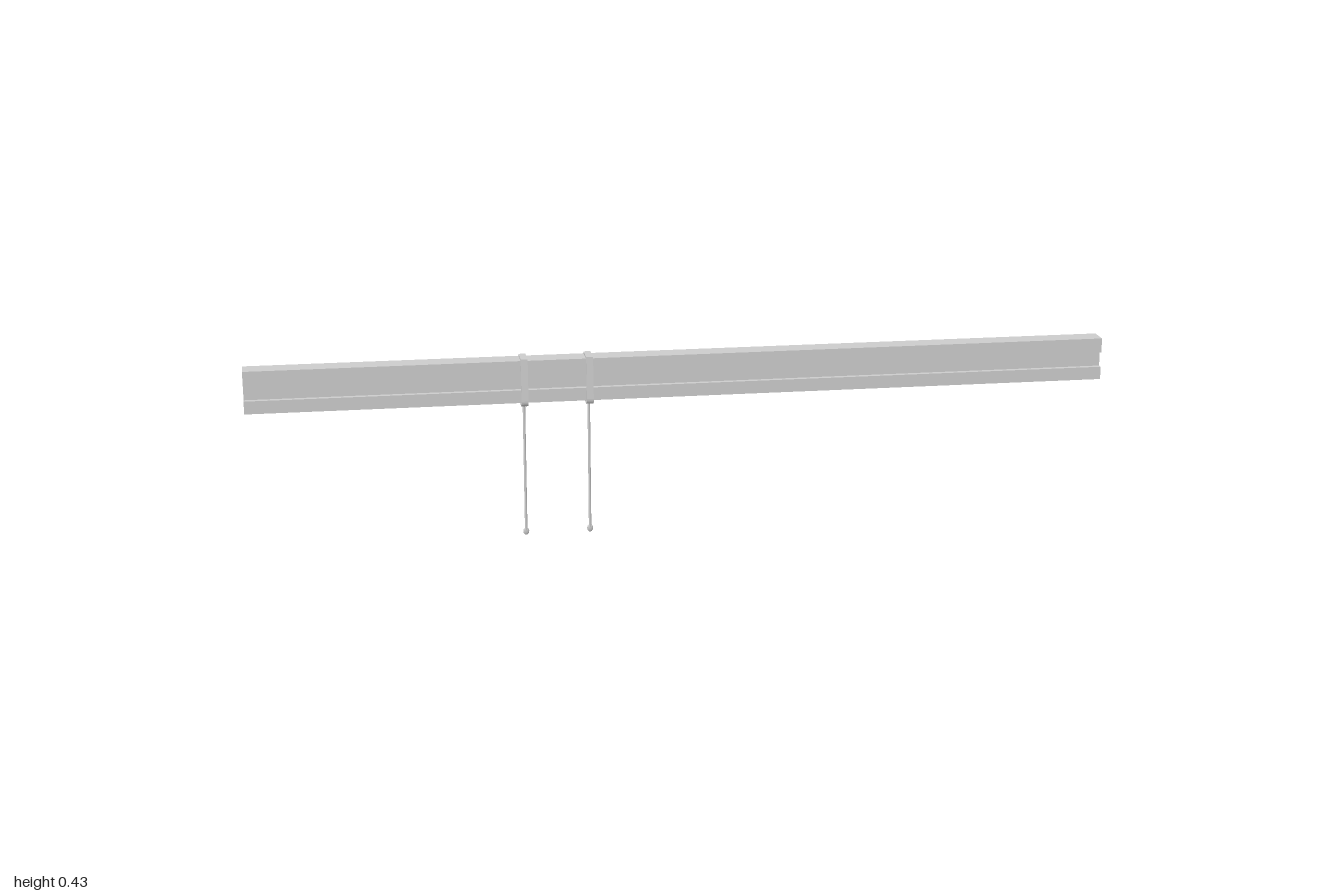
import * as THREE from 'three';

const material = new THREE.MeshStandardMaterial({ color: 0xcccccc, side: THREE.DoubleSide });

function addMesh(parent, name, geometry) {
  const mesh = new THREE.Mesh(geometry, material);
  mesh.name = name;
  parent.add(mesh);
  return mesh;
}

// Open-ended sheet swept along x from a closed outline of [z, y] points
function sheetTube(outline, length) {
  const pos = [];
  const h = length / 2;
  outline.forEach(([z0, y0], i) => {
    const [z1, y1] = outline[(i + 1) % outline.length];
    pos.push(-h, y0, z0, h, y0, z0, h, y1, z1, -h, y0, z0, h, y1, z1, -h, y1, z1);
  });
  const geometry = new THREE.BufferGeometry();
  geometry.setAttribute('position', new THREE.Float32BufferAttribute(pos, 3));
  geometry.computeVertexNormals();
  return geometry;
}

// Tapered loop with rounded lower corners, grown inward by the inset
function loopOutline(path, inset) {
  const top = 0.429 - inset, bottom = 0.317 + inset;
  const zt = 0.027 - inset, zb = 0.033 - inset, r = 0.014 - inset;
  path.moveTo(-zt, top);
  path.lineTo(-zb, bottom + r);
  path.quadraticCurveTo(-zb, bottom, -zb + r, bottom);
  path.lineTo(zb - r, bottom);
  path.quadraticCurveTo(zb, bottom, zb, bottom + r);
  path.lineTo(zt, top);
  path.closePath();
  return path;
}

function createHanger(x) {
  const hanger = new THREE.Group();
  hanger.name = 'hanger';
  hanger.position.x = x;

  // Band wrapped round the rail
  const width = 0.016;
  const shape = loopOutline(new THREE.Shape(), 0);
  shape.holes.push(loopOutline(new THREE.Path(), 0.004));
  const band = new THREE.ExtrudeGeometry(shape, { depth: width, bevelEnabled: false, curveSegments: 8 });
  band.translate(0, 0, -width / 2);
  band.rotateY(-Math.PI / 2);
  addMesh(hanger, 'band', band);

  // Thin rod hanging below, with a flattened tip
  const rod = new THREE.CylinderGeometry(0.003, 0.003, 0.312, 12);
  addMesh(hanger, 'rod', rod).position.y = 0.164;
  const tip = new THREE.SphereGeometry(1, 16, 10);
  tip.scale(0.007, 0.009, 0.003);
  addMesh(hanger, 'rodTip', tip).position.y = 0.009;
  return hanger;
}

export function createModel() {
  const model = new THREE.Group();
  model.name = 'railWithHangers';

  // Hollow rail with a groove along each side
  const side = [[0, 0.425], [0.025, 0.425], [0.025, 0.391], [0.013, 0.391],
    [0.013, 0.356], [0.025, 0.356], [0.025, 0.326], [0, 0.326]];
  const mirrored = side.slice(1, -1).reverse().map(([z, y]) => [-z, y]);
  addMesh(model, 'rail', sheetTube([...side, ...mirrored], 2));

  for (const x of [-0.367, -0.217]) model.add(createHanger(x));
  return model;
}
